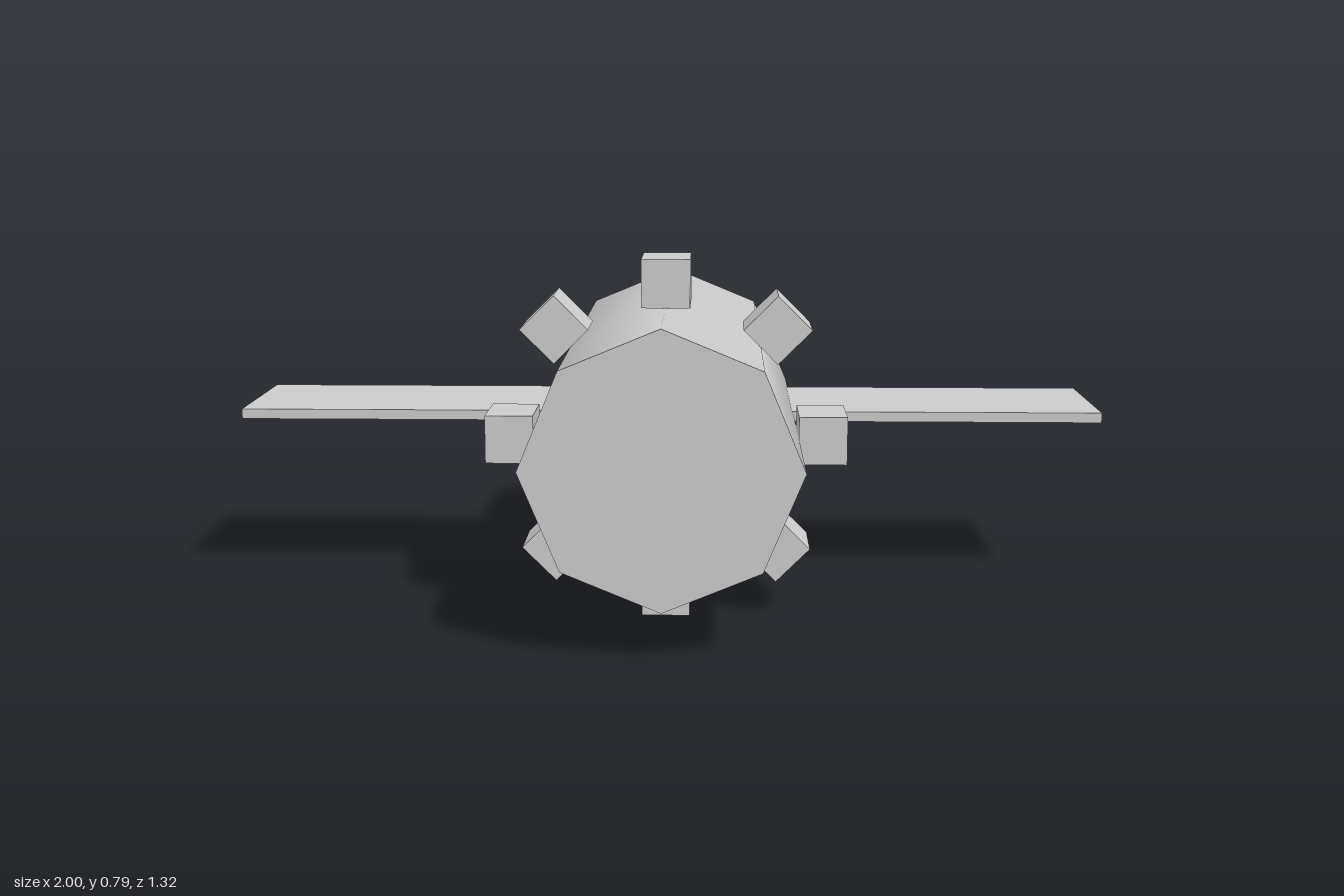
import * as THREE from 'three';

const CY = 0.395; // height of the long axis
const R = 0.29;   // hull radius
const SIDES = 8;

export function createModel() {
  const group = new THREE.Group();
  const mat = new THREE.MeshStandardMaterial({ color: 0xcccccc });

  const add = (name, geo, x, y, z) => {
    const mesh = new THREE.Mesh(geo, mat);
    mesh.name = name;
    mesh.position.set(x, y, z);
    group.add(mesh);
    return mesh;
  };

  // Octagonal hull section lying along z, from z0 (front) to z1 (back)
  const section = (name, rFront, rBack, z0, z1) => {
    const geo = new THREE.CylinderGeometry(rBack, rFront, z0 - z1, SIDES);
    geo.rotateX(-Math.PI / 2);
    add(name, geo, 0, CY, (z0 + z1) / 2);
  };
  section('hull', R, R, 0.66, -0.49);
  section('taperedEnd', R, 0.167, -0.49, -0.66);

  // Ring of small blocks, one on each hull edge
  const block = new THREE.BoxGeometry(0.105, 0.105, 0.15);
  for (let i = 0; i < SIDES; i++) {
    const a = (i / SIDES) * Math.PI * 2;
    const mesh = add('block' + (i + 1), block, Math.cos(a) * 0.3415, CY + Math.sin(a) * 0.3415, 0.255);
    mesh.rotation.z = a;
  }

  // Flat panels on both sides, rooted just inside the hull
  const inner = 0.27;
  const panel = new THREE.BoxGeometry(1 - inner, 0.023, 0.34);
  for (const s of [1, -1]) {
    add(s > 0 ? 'leftPanel' : 'rightPanel', panel, s * (1 + inner) / 2, CY + 0.002, -0.12);
  }

  return group;
}
